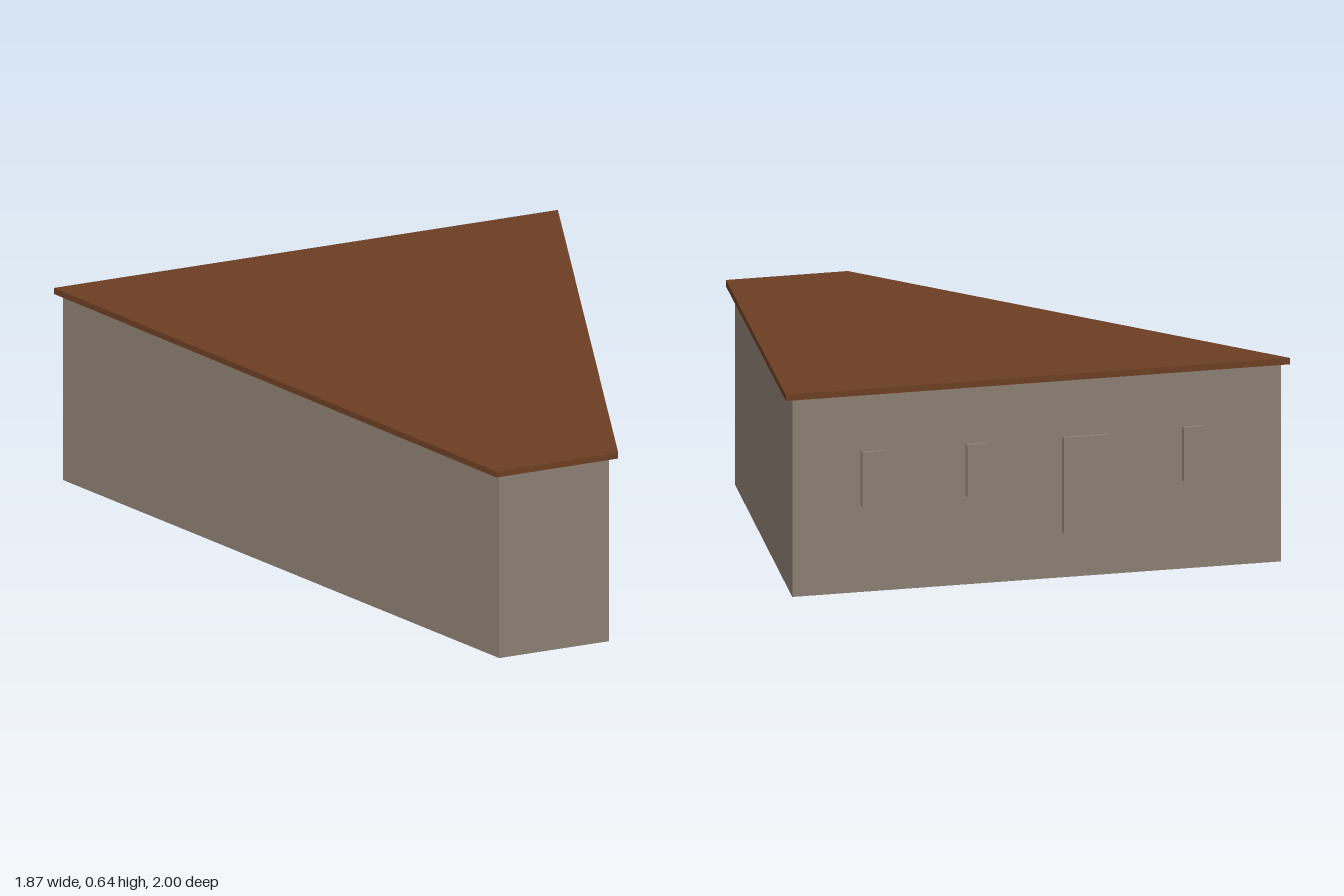
import * as THREE from 'three';

const WALL_HEIGHT = 0.62;
const ROOF_THICKNESS = 0.02;

// Plan corners as [x, z], running from the back corner round by the right
const WALL_PLAN = [[0.519, -0.965], [-0.905, -0.22], [0.585, 0.967], [0.905, 0.8]];
const ROOF_PLAN = [[0.535, -1], [-0.935, -0.23], [0.58, 0.997], [0.935, 0.81]];

// Raised panels on the back wall: distance along the wall, width, bottom, top
const PANELS = [
  ['window', 0.262, 0.075, 0.27, 0.44],
  ['window', 0.605, 0.07, 0.275, 0.44],
  ['door', 0.962, 0.15, 0.14, 0.44],
  ['window', 1.32, 0.075, 0.275, 0.445],
];
const PANEL_DEPTH = 0.018;

export function createModel() {
  const model = new THREE.Group();
  model.name = 'building';

  const wallMaterial = new THREE.MeshStandardMaterial({ color: 0x8b7e71, side: THREE.DoubleSide });
  wallMaterial.name = 'stone grey';
  const roofMaterial = new THREE.MeshStandardMaterial({ color: 0x6c3e22 });
  roofMaterial.name = 'roof brown';

  // Open shell of four thin walls; each group's +x runs along its wall, +z points outward
  const names = ['backWall', 'frontRightWall', 'frontWall', 'leftWall'];
  const walls = WALL_PLAN.map(([x, z], i) => {
    const [x2, z2] = WALL_PLAN[(i + 1) % WALL_PLAN.length];
    const length = Math.hypot(x2 - x, z2 - z);
    const group = new THREE.Group();
    group.name = names[i];
    group.position.set(x, 0, z);
    group.rotation.y = Math.atan2(z - z2, x2 - x);
    const wall = new THREE.Mesh(new THREE.PlaneGeometry(length, WALL_HEIGHT), wallMaterial);
    wall.name = names[i] + 'Surface';
    wall.position.set(length / 2, WALL_HEIGHT / 2, 0);
    group.add(wall);
    model.add(group);
    return group;
  });

  // Door and windows stand slightly proud of the back wall
  for (const [name, along, width, bottom, top] of PANELS) {
    const panel = new THREE.Mesh(new THREE.BoxGeometry(width, top - bottom, PANEL_DEPTH), wallMaterial);
    panel.name = name;
    panel.position.set(along, (bottom + top) / 2, PANEL_DEPTH / 2);
    walls[0].add(panel);
  }

  // Flat roof slab with a small overhang
  const outline = new THREE.Shape(ROOF_PLAN.map(([x, z]) => new THREE.Vector2(x, -z)));
  const slab = new THREE.ExtrudeGeometry(outline, { depth: ROOF_THICKNESS, bevelEnabled: false });
  slab.rotateX(-Math.PI / 2);
  const roof = new THREE.Mesh(slab, roofMaterial);
  roof.name = 'roof';
  roof.position.y = WALL_HEIGHT;
  model.add(roof);

  return model;
}
